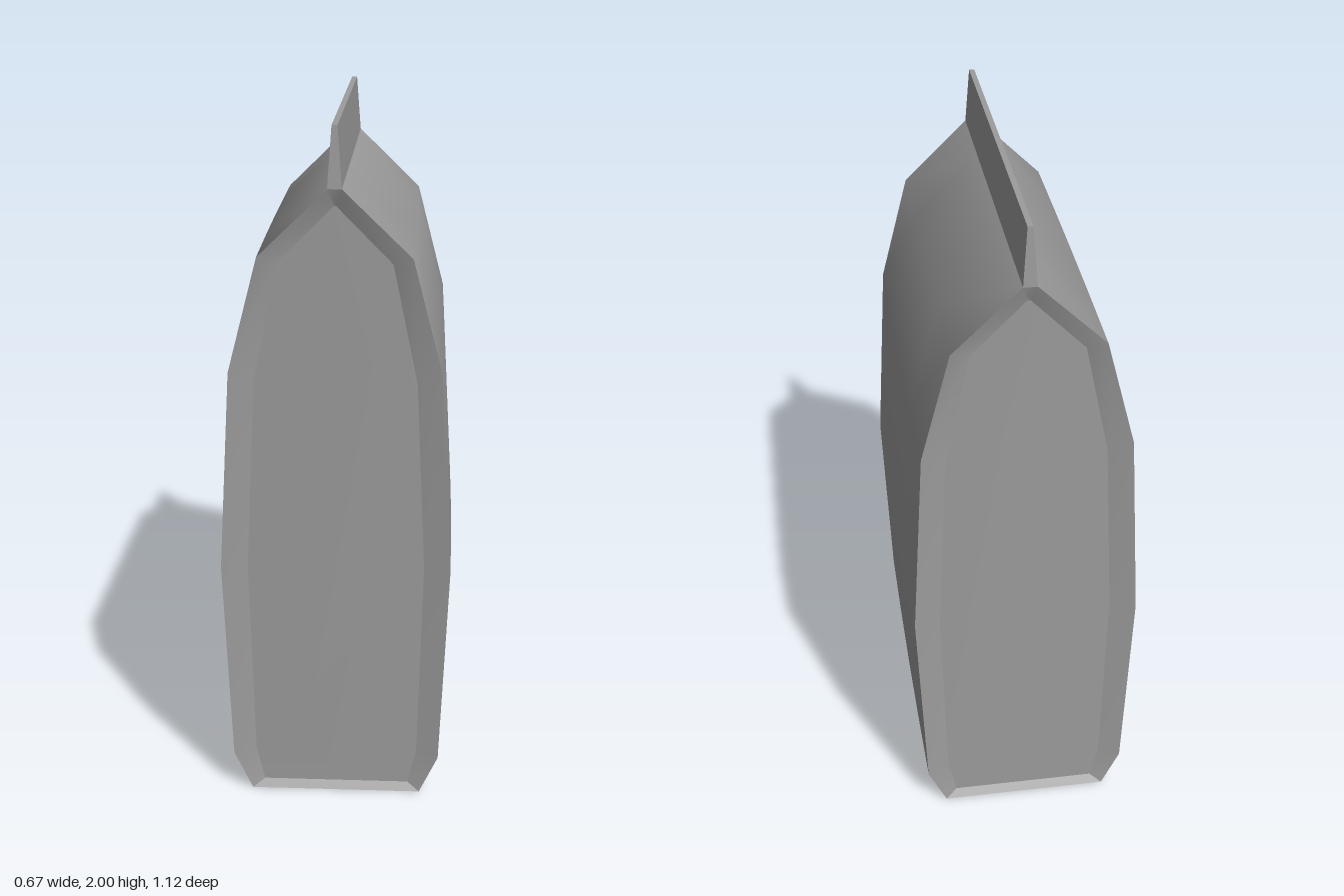
import * as THREE from 'three';

// Right half of the bag outline, bottom to top, and of the recessed end panel
const OUTER = [[0.25, 0.005], [0.305, 0.12], [0.332, 0.72], [0.3, 1.31], [0.215, 1.64], [0.02, 1.83]];
const INNER = [[0.215, 0.026], [0.24, 0.13], [0.256, 0.72], [0.23, 1.28], [0.16, 1.62], [0.004, 1.78]];
const FIN = [[0.02, 1.83], [0.008, 2]];
const RECESS = 0.02;

const mirror = (half) => half.map(([x, y]) => [-x, y]).reverse();
const endZ = (y) => 0.552 + 0.008 * Math.pow(Math.min(y / 1.83, 1), 6) - Math.max(0, y - 1.83) * 0.06;

// Smooth surface through rows of points
function grid(rows) {
  const n = rows[0].length, index = [];
  for (let i = 0; i < rows.length - 1; i++) {
    for (let j = 0; j < n - 1; j++) {
      const a = i * n + j, b = a + n;
      index.push(a, a + 1, b + 1, a, b + 1, b);
    }
  }
  const g = new THREE.BufferGeometry();
  g.setAttribute('position', new THREE.Float32BufferAttribute(rows.flat(2), 3));
  g.setIndex(index);
  g.computeVertexNormals();
  return g;
}

// Outline swept from the front end to the back end, bulging slightly midway
function skin(points) {
  return grid(points.map(([x, y]) => [1, 0.5, 0, -0.5, -1].map(
    (t) => [x * (1 + 0.012 * (1 - t * t)), y, t * endZ(y)])));
}

export function createModel() {
  const model = new THREE.Group();
  const material = new THREE.MeshStandardMaterial({ color: 0x9c9c9c, side: THREE.DoubleSide });
  const add = (name, geometry, parent = model) => {
    const mesh = new THREE.Mesh(geometry, material);
    mesh.name = name;
    parent.add(mesh);
  };

  // Bag walls and base
  add('leftWall', skin(OUTER));
  add('rightWall', skin(mirror(OUTER)));
  add('base', skin([[-0.25, 0.005], [0.25, 0.005]]));

  // Pinched top seal
  add('sealLeft', skin(FIN));
  add('sealRight', skin(mirror(FIN)));
  add('sealTop', skin([FIN[1], [-FIN[1][0], FIN[1][1]]]));

  // Gusseted ends: a sloping rim around a recessed panel, and the end of the seal
  const outer = [...OUTER, ...mirror(OUTER)];
  const inner = [...INNER, ...mirror(INNER)];
  const rimRow = (k) => [
    [...inner[k], endZ(inner[k][1]) - RECESS],
    [...outer[k], endZ(outer[k][1])],
  ];
  const last = outer.length - 1;
  for (const [name, angle] of [['frontEnd', 0], ['backEnd', Math.PI]]) {
    const end = new THREE.Group();
    end.name = name;
    end.rotation.y = angle;
    model.add(end);
    add('rim', grid(outer.map((_, k) => rimRow(k))), end);
    add('bottomRim', grid([rimRow(last), rimRow(0)]), end);

    const panel = new THREE.ShapeGeometry(new THREE.Shape(inner.map(([x, y]) => new THREE.Vector2(x, y))));
    const p = panel.attributes.position;
    for (let i = 0; i < p.count; i++) p.setZ(i, endZ(p.getY(i)) - RECESS);
    panel.computeVertexNormals();
    add('panel', panel, end);

    add('sealEnd', grid(FIN.map(([x, y]) => [[-x, y, endZ(y)], [x, y, endZ(y)]])), end);
  }
  return model;
}
